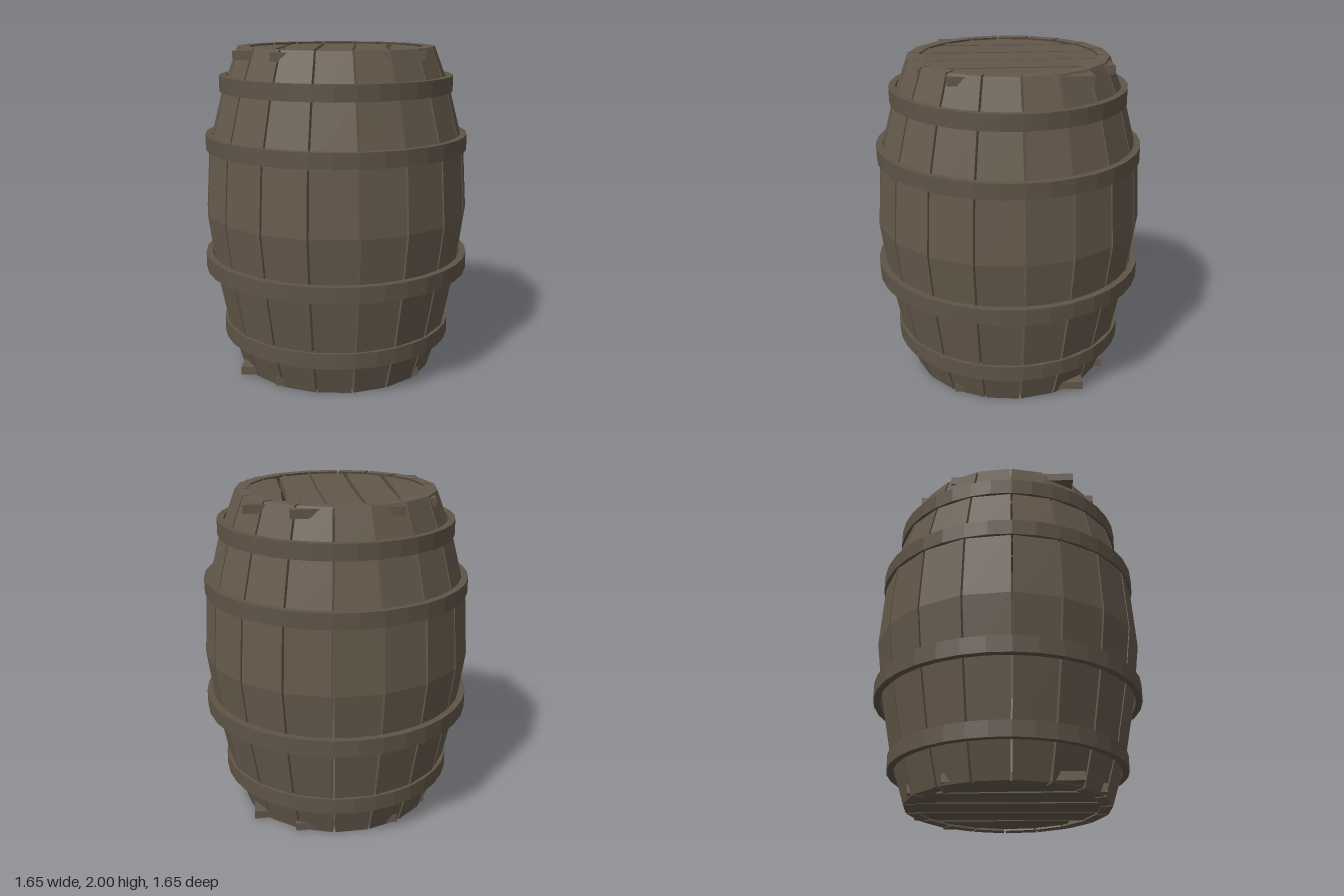
import * as THREE from 'three';

const material = (name, color) =>
  new THREE.MeshStandardMaterial({ name, color, flatShading: true });

// Stave outline from bottom to top: [outer radius, height]
const PROFILE = [
  [0.615, 0], [0.705, 0.29], [0.775, 0.65], [0.82, 1.0],
  [0.795, 1.38], [0.70, 1.74], [0.6, 2.0],
];
const STAVES = 18;
const THICKNESS = 0.07;
const GAP = 0.013;

// One bowed stave: a box whose rows follow the outline, centred on +z
function staveGeometry() {
  const rows = PROFILE.length - 1;
  const geo = new THREE.BoxGeometry(1, 1, 1, 1, rows, 1);
  const pos = geo.attributes.position;
  const half = Math.PI / STAVES;
  for (let i = 0; i < pos.count; i++) {
    const [radius, y] = PROFILE[Math.round((pos.getY(i) + 0.5) * rows)];
    const r = pos.getZ(i) > 0 ? radius : radius - THICKNESS;
    const halfWidth = r * Math.sin(half) - GAP / 2;
    pos.setXYZ(i, Math.sign(pos.getX(i)) * halfWidth, y, r * Math.cos(half));
  }
  geo.computeVertexNormals();
  return geo;
}

// Flat band with a rectangular section
function hoopGeometry(outer, y0, y1) {
  const inner = outer - 0.04;
  const section = [[outer, y0], [outer, y1], [inner, y1], [inner, y0], [outer, y0]];
  return new THREE.LatheGeometry(section.map(([r, y]) => new THREE.Vector2(r, y)), 36);
}

// Board seen from above: left and right x at the back, middle and front
function plankGeometry({ left, right, back, front }) {
  const z = [back, (back + front) / 2, front];
  const corners = [
    ...left.map((x, i) => [x, z[i]]),
    ...right.map((x, i) => [x, z[i]]).reverse(),
  ];
  const shape = new THREE.Shape(corners.map(([x, d]) => new THREE.Vector2(x, -d)));
  const geo = new THREE.ExtrudeGeometry(shape, { depth: 0.05, bevelEnabled: false });
  return geo.rotateX(-Math.PI / 2);
}

const PLANKS = [
  { left: [-0.515, -0.55, -0.58], right: [-0.31, -0.345, -0.372], back: -0.37, front: 0.39 },
  { left: [-0.29, -0.315, -0.355], right: [-0.092, -0.115, -0.15], back: -0.57, front: 0.54 },
  { left: [-0.078, -0.092, -0.125], right: [0.12, 0.108, 0.083], back: -0.56, front: 0.56 },
  { left: [0.132, 0.12, 0.1], right: [0.335, 0.308, 0.295], back: -0.57, front: 0.54 },
  { left: [0.357, 0.332, 0.32], right: [0.575, 0.545, 0.51], back: -0.4, front: 0.39 },
];

const HOOPS = [
  [0.72, 0.2, 0.295], [0.825, 0.635, 0.735],
  [0.805, 1.385, 1.48], [0.712, 1.735, 1.83],
];

export function createModel() {
  const barrel = new THREE.Group();
  barrel.name = 'barrel';
  const staveWood = material('stave wood', 0x65594b);
  const hoopBrown = material('hoop brown', 0x5f5447);
  const lidWood = material('lid wood', 0x62574a);

  const add = (parent, name, geo, mat) => {
    const mesh = new THREE.Mesh(geo, mat);
    mesh.name = name;
    parent.add(mesh);
    return mesh;
  };

  // Ring of staves
  const stave = staveGeometry();
  for (let i = 0; i < STAVES; i++) {
    add(barrel, 'stave', stave, staveWood).rotation.y = (i * 2 * Math.PI) / STAVES;
  }

  // Four hoops
  for (const hoop of HOOPS) add(barrel, 'hoop', hoopGeometry(...hoop), hoopBrown);

  // Plank heads at both ends, with corners poking through the staves
  const planks = PLANKS.map(plankGeometry);
  for (const [name, y] of [['bottomHead', 0.012], ['topHead', 1.938]]) {
    const head = new THREE.Group();
    head.name = name;
    head.position.y = y;
    for (const plank of planks) add(head, 'plank', plank, lidWood);
    barrel.add(head);
  }
  return barrel;
}
